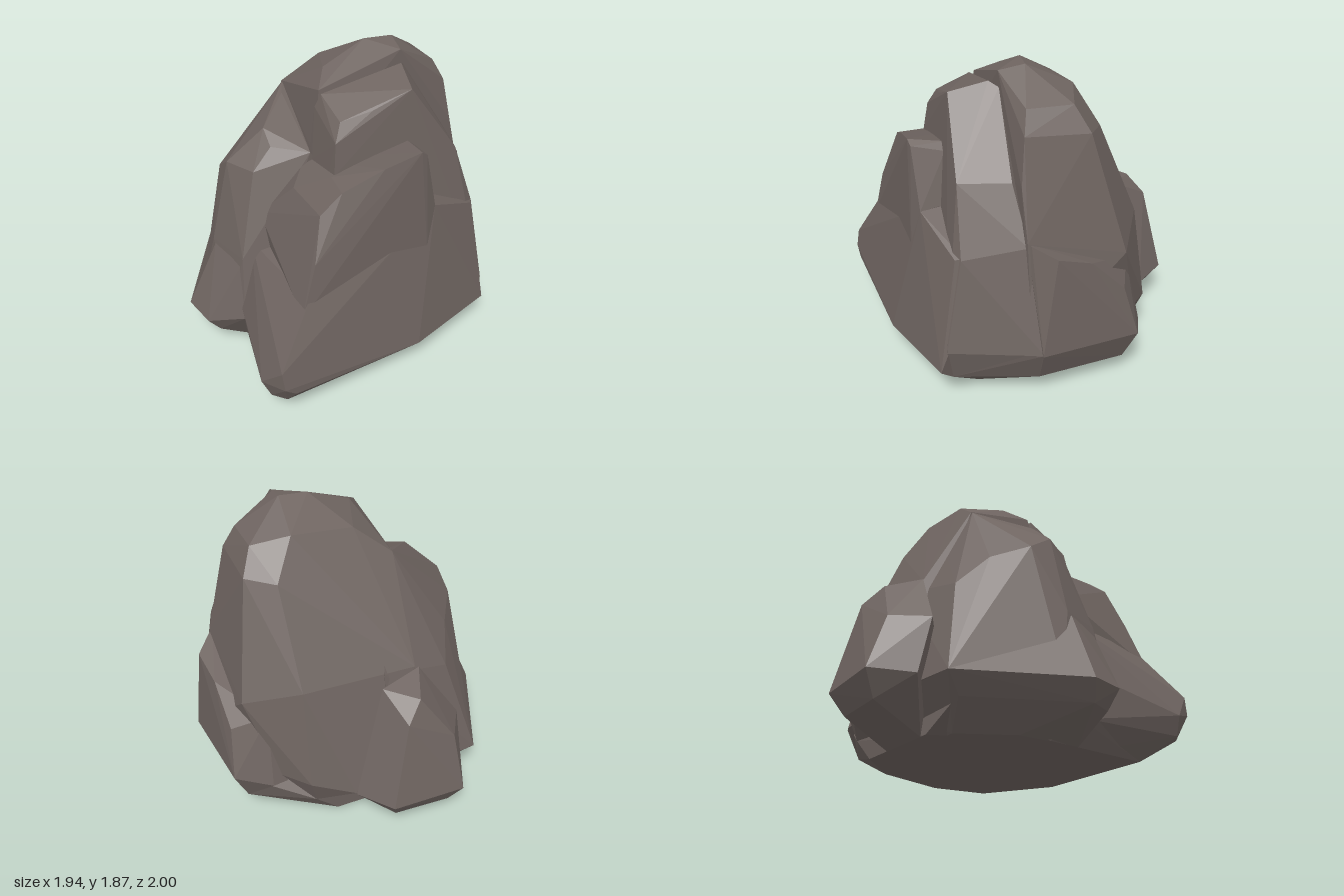
import * as THREE from 'three';
import { ConvexGeometry } from 'three/addons/geometries/ConvexGeometry.js';

const stone = new THREE.MeshStandardMaterial({ color: 0x6e6460 });
stone.name = 'warm grey stone';

// Each chunk of the boulder is a faceted convex block given by its corners.
function chunk(name, corners) {
  const geometry = new ConvexGeometry(corners.map((c) => new THREE.Vector3(...c)));
  const mesh = new THREE.Mesh(geometry, stone);
  mesh.name = name;
  return mesh;
}

export function createModel() {
  const rock = new THREE.Group();
  rock.name = 'boulder';
  rock.add(
    // chamfered foot that ties the chunks together
    chunk('base', [
      [-0.58, 0, 0.7], [0.2, 0, 0.7], [0.62, 0, 0.45], [0.68, 0, 0.1], [0.55, 0, -0.35], [0.3, 0, -0.6],
      [-0.3, 0, -0.6], [-0.6, 0, 0], [0.73, 0.14, 0.62], [0.87, 0.14, 0.14], [0.82, 0.14, -0.4],
      [0.45, 0.14, -0.61], [-0.55, 0.14, -0.58], [-0.7, 0.14, 0.1], [-0.66, 0.14, 0.75], [0.77, 0.35, 0.64],
      [0.96, 0.35, 0.15], [0.89, 0.35, -0.43], [-0.5, 0.35, -0.4], [-0.5, 0.35, 0.5],
    ]),
    // tall rear mass with the summit
    chunk('tower', [
      [0.2, 1.87, 0.06], [0.37, 1.87, 0.08], [0.35, 1.84, 0.23], [0, 1.77, 0.14], [-0.08, 1.76, 0.1],
      [-0.17, 1.69, 0.24], [0.62, 1.7, 0.15], [0.62, 1.7, -0.12], [0.69, 1.57, 0.18], [0.69, 1.55, -0.2],
      [0.02, 1.72, -0.18], [0.4, 1.75, -0.19], [-0.2, 1.55, -0.25], [0.53, 1.53, -0.31], [-0.22, 1.3, 0.3],
      [0.74, 1.3, 0.21], [0.82, 1, 0.2], [0.81, 0.85, -0.39], [0.5, 0.95, -0.57], [-0.2, 0.95, -0.59],
      [0.5, 0.33, -0.67], [0.25, 0.25, -0.76], [-0.3, 0.25, -0.73], [0.64, 0.35, -0.53], [0.92, 0.35, 0.2],
      [0.45, 0.14, -0.61], [0.3, 0.05, -0.5], [-0.3, 0.05, -0.4], [-0.2, 0.05, 0.2],
    ]),
    // stepped layer in front of the tower
    chunk('middleLayer', [
      [-0.17, 1.68, 0.27], [-0.15, 1.6, 0.48], [0.04, 1.64, 0.5], [0.28, 1.72, 0.5], [0.33, 1.78, 0.28],
      [0.04, 1.7, 0.27], [0.37, 1.75, 0.23], [-0.2, 1.6, 0.25], [-0.2, 1.5, 0.53], [-0.22, 1.32, 0.56],
      [-0.24, 1.3, 0.3], [0.58, 1.3, 0.53], [0.66, 1.3, 0.24], [0.72, 0.9, 0.55], [0.81, 0.97, 0.19],
      [0.91, 0.6, 0.11], [0.78, 0.35, 0.66], [0.96, 0.35, 0.14], [0.73, 0.14, 0.62], [0.87, 0.14, 0.14],
      [0.3, 0.05, 0.5], [-0.4, 0.05, 0.3],
    ]),
    // upper half of the front slab
    chunk('frontSlabTop', [
      [-0.24, 1.32, 0.56], [0.25, 1.42, 0.52], [0.3, 1.38, 0.53], [0.36, 1.08, 0.52], [0.23, 1.45, 0.73],
      [0, 1.4, 0.73], [0.27, 1.42, 0.72], [-0.25, 1.31, 0.72], [-0.38, 1.2, 0.72], [0.36, 1.05, 0.7],
      [-0.4, 1.2, 0.4], [-0.27, 1.28, 0.25], [-0.54, 0.95, 0.2], [-0.55, 0.65, 0.86], [-0.45, 0.95, 0.81],
      [0.3, 0.7, 0.76], [0.3, 0.6, 0.5], [-0.5, 0.6, 0.2],
    ]),
    // lower half of the front slab and its long toe
    chunk('frontSlabBase', [
      [0.35, 1.08, 0.52], [0.36, 1.05, 0.7], [0.72, 0.91, 0.53], [0.7, 0.9, 0.58], [0, 0.85, 0.79],
      [-0.5, 0.75, 0.84], [-0.6, 0.75, 0.2], [-0.71, 0.4, 0.2], [-0.57, 0.63, 0.88], [-0.73, 0.41, 0.98],
      [-0.8, 0.25, 0.83], [-0.72, 0.3, 1], [-0.35, 0.36, 0.92], [-0.65, 0.24, 0.99], [0.2, 0.2, 0.89],
      [0.45, 0.21, 0.79], [0.78, 0.22, 0.7], [0.78, 0.35, 0.65], [-0.75, 0.14, 0.85], [-0.68, 0.14, 0.92],
      [0.73, 0.14, 0.62], [-0.58, 0, 0.7], [0.2, 0, 0.7], [0.62, 0, 0.45], [-0.55, 0, 0.3],
      [-0.68, 0.14, 0.2],
    ]),
    // lower mass beside the tower, with a flat shelf
    chunk('leftShoulder', [
      [-0.44, 1.42, 0.05], [-0.24, 1.52, -0.15], [-0.25, 1.34, 0.3], [-0.44, 1.35, 0.16], [-0.66, 1.22, 0],
      [-0.56, 1.22, 0.18], [-0.69, 0.7, 0.28], [-0.78, 0.7, 0], [-0.84, 0.3, -0.1], [-0.78, 0.3, 0.25],
      [-0.72, 0.3, 0.35], [-0.62, 0.25, -0.68], [-0.45, 0.85, -0.53], [-0.66, 1.12, -0.15],
      [-0.53, 1.04, -0.35], [-0.2, 1.55, -0.24], [-0.1, 1.3, -0.39], [0, 0.95, -0.59], [0, 0.25, -0.74],
      [-0.5, 0.1, -0.4], [0, 1, 0.3], [0, 0.1, 0],
    ]),
    // flared foot under the shoulder
    chunk('leftFoot', [
      [-0.97, 0.25, 0], [-0.92, 0.25, 0.22], [-0.72, 0.3, 0.35], [-0.9, 0.14, 0.05], [-0.84, 0.14, 0.2],
      [-0.84, 0.48, 0], [-0.78, 0.68, 0.03], [-0.7, 0.65, 0.27], [-0.62, 0.25, -0.68], [-0.57, 0.14, -0.58],
      [-0.6, 0, 0.2], [-0.58, 0, -0.2], [-0.4, 0, -0.5], [0, 0.25, -0.73], [0, 0.14, -0.6], [0, 0, -0.5],
    ]),
    // ledge on the flank
    chunk('sideLedge', [
      [0.8, 1, 0.2], [0.83, 0.99, 0.18], [0.93, 0.94, 0.06], [0.9, 0.87, -0.15], [0.88, 0.66, -0.36],
      [0.97, 0.35, 0.15], [0.91, 0.35, -0.45], [0.7, 0.3, -0.55], [0.61, 0.3, -0.54], [0.68, 0.75, -0.45],
      [0.87, 0.14, 0.14], [0.82, 0.14, -0.4], [0.5, 0.9, 0], [0.6, 0.1, 0],
    ]),
    // small spur at the back
    chunk('backSpur', [
      [-0.22, 0.95, -0.6], [0.04, 0.9, -0.65], [-0.13, 0.88, -0.8], [-0.02, 0.78, -0.88], [-0.33, 0.6, -0.88],
      [-0.46, 0.6, -0.68], [-0.35, 0.27, -1], [0.1, 0.26, -0.98], [-0.46, 0.26, -0.76], [0.25, 0.25, -0.77],
      [0.05, 0.13, -0.9], [-0.3, 0.13, -0.92], [-0.25, 0, -0.6], [0.1, 0, -0.6], [-0.1, 0.5, -0.4],
    ]),
  );
  return rock;
}
